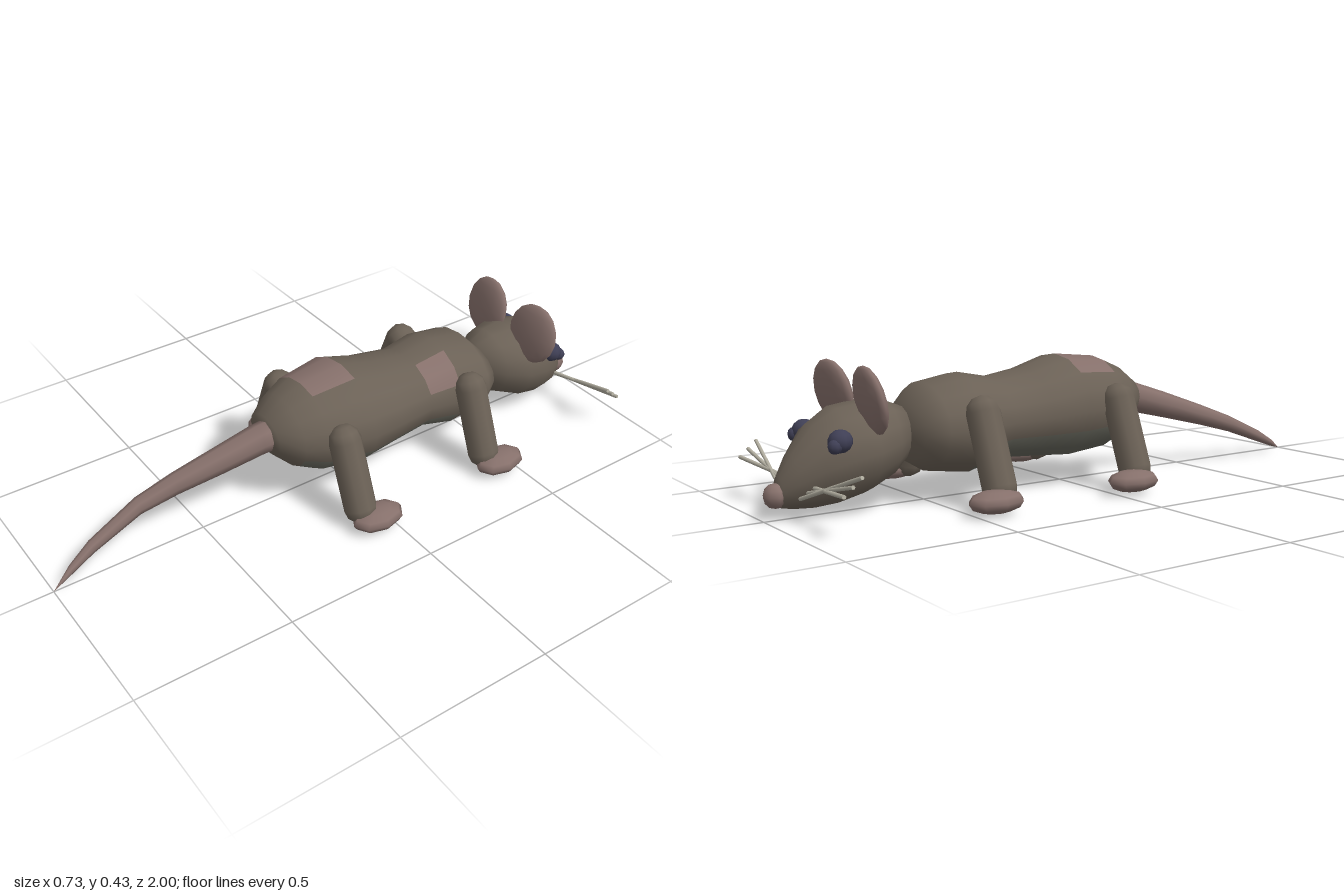
import * as THREE from 'three';

const mat = (color) => new THREE.MeshStandardMaterial({ color });
const FUR = mat(0x6b6156), PINK = mat(0x86706b), BELLY = mat(0x66665c);
const EYE = mat(0x3f3f55), WHISKER = mat(0xb4b0a2);

// Skin elliptical sections [z, cx, cy, rx, ry], ordered from -z to +z.
// pick(section, segment) chooses which quads belong to the surface.
function loft(rings, n, pick = () => true) {
  const pos = [], all = [], index = [];
  for (const [z, cx, cy, rx, ry] of rings) {
    for (let j = 0; j < n; j++) {
      const t = (j / n) * Math.PI * 2;
      pos.push(cx + rx * Math.cos(t), cy + ry * Math.sin(t), z);
    }
  }
  for (let i = 0; i < rings.length - 1; i++) {
    for (let j = 0; j < n; j++) {
      const k = (j + 1) % n;
      const a = i * n + j, b = i * n + k, c = a + n, d = b + n;
      all.push(a, b, d, a, d, c);
      if (pick(i, j)) index.push(a, b, d, a, d, c);
    }
  }
  const g = new THREE.BufferGeometry();
  g.setAttribute('position', new THREE.Float32BufferAttribute(pos, 3));
  g.setIndex(all);
  g.computeVertexNormals(); // normals stay continuous across colour areas
  g.setIndex(index);
  return g;
}

export function createModel() {
  const root = new THREE.Group();

  const add = (name, geometry, material) => {
    const m = new THREE.Mesh(geometry, material);
    m.name = name;
    root.add(m);
    return m;
  };
  const ball = (name, material, p, r, w = 10, h = 7) => {
    const m = add(name, new THREE.SphereGeometry(1, w, h), material);
    m.position.set(...p);
    m.scale.set(...r);
    return m;
  };
  const between = (name, material, a, b, makeGeometry) => {
    const A = new THREE.Vector3(...a), B = new THREE.Vector3(...b);
    const dir = B.clone().sub(A);
    const m = add(name, makeGeometry(dir.length()), material);
    m.position.copy(A).add(B).multiplyScalar(0.5);
    m.quaternion.setFromUnitVectors(new THREE.Vector3(0, 1, 0), dir.normalize());
    return m;
  };

  // Body: fur, pale belly and bare patches share one skin
  const body = [
    [-0.565, 0, 0.215, 0, 0],
    [-0.56, 0, 0.21, 0.125, 0.085],
    [-0.5, 0, 0.222, 0.168, 0.133],
    [-0.38, 0, 0.224, 0.172, 0.152],
    [-0.27, 0, 0.229, 0.157, 0.126],
    [-0.14, 0, 0.235, 0.175, 0.14],
    [-0.02, 0, 0.248, 0.197, 0.162],
    [0.13, 0, 0.247, 0.168, 0.148],
    [0.2, 0, 0.25, 0.135, 0.115],
    [0.262, 0, 0.26, 0.085, 0.062],
    [0.265, 0, 0.26, 0, 0],
  ];
  const isRump = (i, j) => i === 6 && j >= 3 && j <= 5;
  const isShoulder = (i, j) => i === 3 && (j === 1 || j === 2);
  const isBelly = (i, j) => i >= 3 && i <= 7 && j >= 9 && j <= 14;
  add('bodyFur', loft(body, 16, (i, j) => !isRump(i, j) && !isShoulder(i, j) && !isBelly(i, j)), FUR);
  add('belly', loft(body, 16, isBelly), BELLY);
  add('rumpPatch', loft(body, 16, isRump), PINK);
  add('shoulderPatch', loft(body, 16, isShoulder), PINK);

  // Head tapering down to the snout
  add('head', loft([
    [-0.965, 0, 0.075, 0, 0],
    [-0.955, 0, 0.082, 0.035, 0.045],
    [-0.92, 0, 0.108, 0.067, 0.078],
    [-0.86, 0, 0.145, 0.112, 0.118],
    [-0.79, 0, 0.17, 0.143, 0.137],
    [-0.71, 0, 0.185, 0.15, 0.133],
    [-0.63, 0, 0.2, 0.116, 0.114],
    [-0.575, 0, 0.21, 0.07, 0.082],
    [-0.545, 0, 0.212, 0, 0],
  ], 14), FUR);
  ball('nose', PINK, [0, 0.072, -0.964], [0.038, 0.036, 0.036], 8, 6);

  // Curved tail
  add('tail', loft([
    [0.22, 0.01, 0.265, 0, 0],
    [0.23, 0.008, 0.262, 0.05, 0.052],
    [0.29, -0.002, 0.25, 0.047, 0.051],
    [0.42, -0.022, 0.213, 0.041, 0.044],
    [0.56, -0.049, 0.17, 0.033, 0.035],
    [0.68, -0.065, 0.13, 0.026, 0.028],
    [0.85, -0.048, 0.065, 0.021, 0.02],
    [0.93, -0.026, 0.033, 0.014, 0.013],
    [1, 0, 0.003, 0, 0],
  ], 8), PINK);

  for (const s of [1, -1]) {
    const side = s > 0 ? 'left' : 'right';

    // Ears lean slightly towards the snout
    const ear = ball(side + 'Ear', PINK, [s * 0.115, 0.33, -0.727], [0.1, 0.1, 0.028], 12, 8);
    ear.rotation.set(-0.2, s * 0.08, 0);

    // Eyes
    ball(side + 'Eye', EYE, [s * 0.118, 0.226, -0.822], [0.036, 0.033, 0.035], 10, 7);
    ball(side + 'Pupil', EYE, [s * 0.132, 0.215, -0.845], [0.021, 0.021, 0.021], 8, 6);

    // Legs with paws pointing forward
    for (const [end, z, pawZ] of [['hind', 0.093, 0.055], ['front', -0.403, -0.44]]) {
      between(side + end + 'Leg', FUR, [s * 0.183, 0.275, z], [s * 0.265, 0.07, z],
        (len) => new THREE.CapsuleGeometry(0.052, len, 3, 10));
      ball(side + end + 'Paw', PINK, [s * 0.305, 0.043, pawZ], [0.06, 0.034, 0.09], 8, 6);
    }

    // Crossing whiskers
    for (const k of [-1, 0, 1]) {
      between(side + 'Whisker', WHISKER,
        [s * 0.06, 0.082 - k * 0.014, -0.9 - k * 0.018],
        [s * 0.348, 0.147 + k * 0.022, -0.9 + k * 0.026],
        (len) => new THREE.CylinderGeometry(0.006, 0.006, len, 6));
    }
  }
  return root;
}
